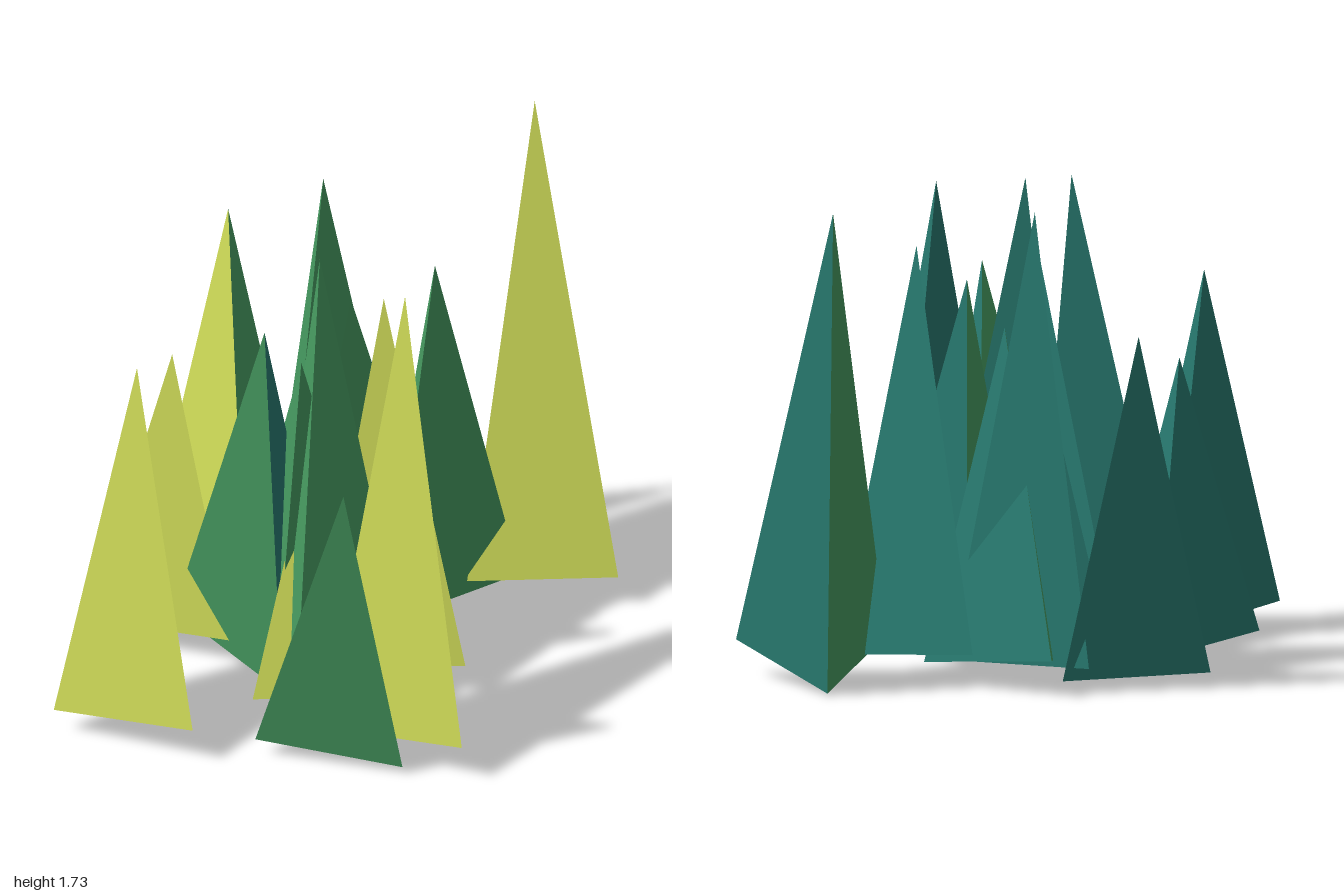
import * as THREE from 'three';

const RADIUS = 0.303;
const BASE_Y = 0.089;

// One leaning three-sided spike; sides lists the material of each face in turn.
function makeBlade(x, z, tipY, tipZ, spin, sides, underside) {
  const rise = tipY - BASE_Y;
  const run = tipZ - z;
  const height = Math.hypot(rise, run);
  const geometry = new THREE.ConeGeometry(RADIUS, height, 3, 1).toNonIndexed();
  geometry.translate(0, height / 2, 0);
  geometry.rotateY(THREE.MathUtils.degToRad(spin));
  geometry.rotateX(Math.atan2(run, rise));
  geometry.computeVertexNormals();
  geometry.clearGroups();
  for (let i = 0; i < 3; i++) geometry.addGroup(i * 3, 3, i);
  geometry.addGroup(9, 9, 3);
  const mesh = new THREE.Mesh(geometry, [...sides, underside]);
  mesh.position.set(x, BASE_Y, z);
  return mesh;
}

export function createModel() {
  const material = (name, color) => {
    const m = new THREE.MeshStandardMaterial({ color, flatShading: true });
    m.name = name;
    return m;
  };
  const palette = {
    y: material('yellowGreen', 0xc8d455),
    g: material('leafGreen', 0x469a60),
    t: material('deepTeal', 0x287a70),
  };

  // Base x, base z, tip height, tip z, spin in degrees, face colours
  const blades = [
    [0.73, -0.387, 1.73, -0.83, -60, 'ytg'],
    [-0.332, -0.58, 1.28, -0.88, 5, 'gty'],
    [-0.697, 0.423, 1.32, 0.16, 34, 'tty'],
    [0.23, 0.577, 1.64, 0.237, 34, 'tty'],
    [-0.014, 0.553, 1.24, 0.878, 44, 'tgg'],
    [-0.057, 0.297, 1.68, 0.045, -21, 'gtg'],
    [-0.266, -0.045, 1.62, 0.41, 13, 'ttg'],
    [0.353, -0.358, 1.49, -0.177, -33, 'gtg'],
    [0.175, 0.133, 1.365, -0.165, -60, 'ytg'],
    [-0.555, -0.165, 1.09, -0.265, 39, 'tty'],
    [-0.02, -0.517, 1.655, -0.49, -30, 'gtg'],
    [-0.05, 0.32, 1.08, 0.03, -59, 'ytg'],
    [0.07, -0.55, 1.23, -0.37, -40, 'gtg'],
    [-0.13, 0.025, 1.37, 0.23, -18, 'gtg'],
  ];

  const group = new THREE.Group();
  group.name = 'grassTuft';
  blades.forEach(([x, z, tipY, tipZ, spin, colours], i) => {
    const sides = [...colours].map((c) => palette[c]);
    const blade = makeBlade(x, z, tipY, tipZ, spin, sides, palette.t);
    blade.name = `grassBlade${i + 1}`;
    group.add(blade);
  });
  return group;
}
